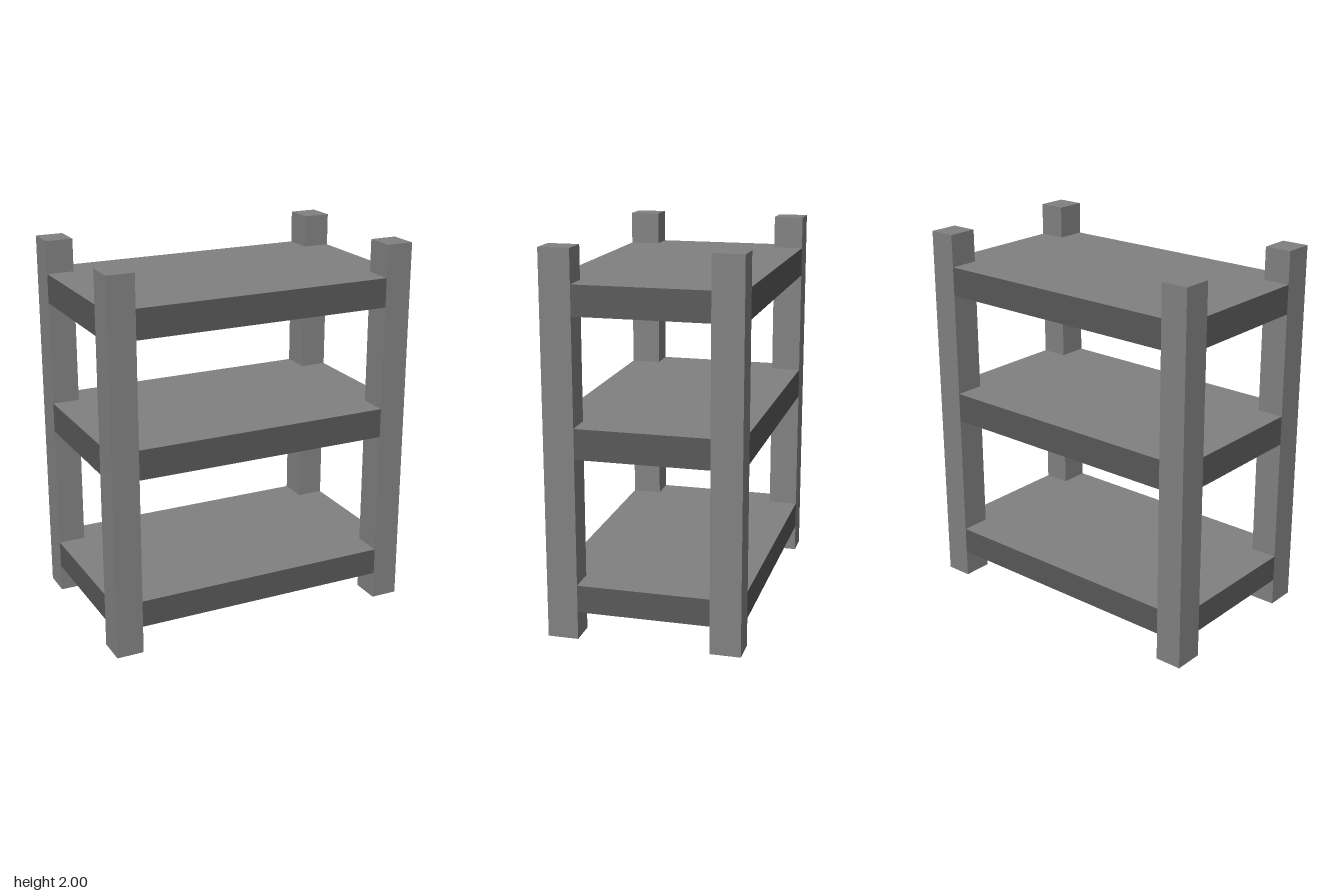
import * as THREE from 'three';

const HX = 0.84, HZ = 0.505;  // half width and depth of the unit
const PX = 0.145, PZ = 0.16;  // post size
const LIP = 0.05;             // rim width and recess depth under each shelf

// Rectangle with its four corners notched out around the posts
function notchedOutline(Ctor, hx, hz, ix, iz) {
  return new Ctor([
    [ix, -hz], [ix, -iz], [hx, -iz], [hx, iz], [ix, iz], [ix, hz],
    [-ix, hz], [-ix, iz], [-hx, iz], [-hx, -iz], [-ix, -iz], [-ix, -hz],
  ].map(([x, z]) => new THREE.Vector2(x, z)));
}

export function createModel() {
  const group = new THREE.Group();
  const grey = new THREE.MeshStandardMaterial({ name: 'grey', color: 0x808080 });
  const darkGrey = new THREE.MeshStandardMaterial({ name: 'dark grey', color: 0x585858 });

  function add(name, geometry, material, x, y, z, parent = group) {
    const mesh = new THREE.Mesh(geometry, material);
    mesh.name = name;
    mesh.position.set(x, y, z);
    parent.add(mesh);
    return mesh;
  }

  // Corner posts
  const postGeometry = new THREE.BoxGeometry(PX, 2, PZ);
  for (const sx of [-1, 1]) for (const sz of [-1, 1]) {
    const name = (sz > 0 ? 'front' : 'back') + (sx > 0 ? 'Left' : 'Right') + 'Post';
    add(name, postGeometry, grey, sx * (HX - PX / 2), 1, sz * (HZ - PZ / 2));
  }

  const ix = HX - PX, iz = HZ - PZ;
  const inset = 0.001;  // lets the dark edge faces sit flush with the posts
  const extrude = (shape, depth) =>
    new THREE.ExtrudeGeometry(shape, { depth, bevelEnabled: false }).rotateX(-Math.PI / 2);

  // Shelves: a solid board over a rim that leaves the underside hollow
  const levels = [['lower', 0.148, 0.292], ['middle', 0.957, 1.115], ['upper', 1.672, 1.827]];
  for (const [label, bottom, top] of levels) {
    const shelf = new THREE.Group();
    shelf.name = label + 'Shelf';
    group.add(shelf);

    const outline = () => notchedOutline(THREE.Shape, HX - inset, HZ - inset, ix, iz);
    const rimShape = outline();
    rimShape.holes.push(notchedOutline(THREE.Path, HX - LIP, HZ - LIP, ix - LIP, iz - LIP));
    add('board', extrude(outline(), top - bottom - LIP), grey, 0, bottom + LIP, 0, shelf);
    add('rim', extrude(rimShape, LIP), grey, 0, bottom, 0, shelf);

    // Dark outer edge faces between the posts
    const h = top - bottom, y = (top + bottom) / 2;
    for (const s of [1, -1]) {
      const long = add(s > 0 ? 'frontEdge' : 'backEdge',
        new THREE.PlaneGeometry(2 * ix, h), darkGrey, 0, y, s * HZ, shelf);
      long.rotation.y = s > 0 ? 0 : Math.PI;
      const short = add(s > 0 ? 'leftEdge' : 'rightEdge',
        new THREE.PlaneGeometry(2 * iz, h), darkGrey, s * HX, y, 0, shelf);
      short.rotation.y = s * Math.PI / 2;
    }
  }
  return group;
}
